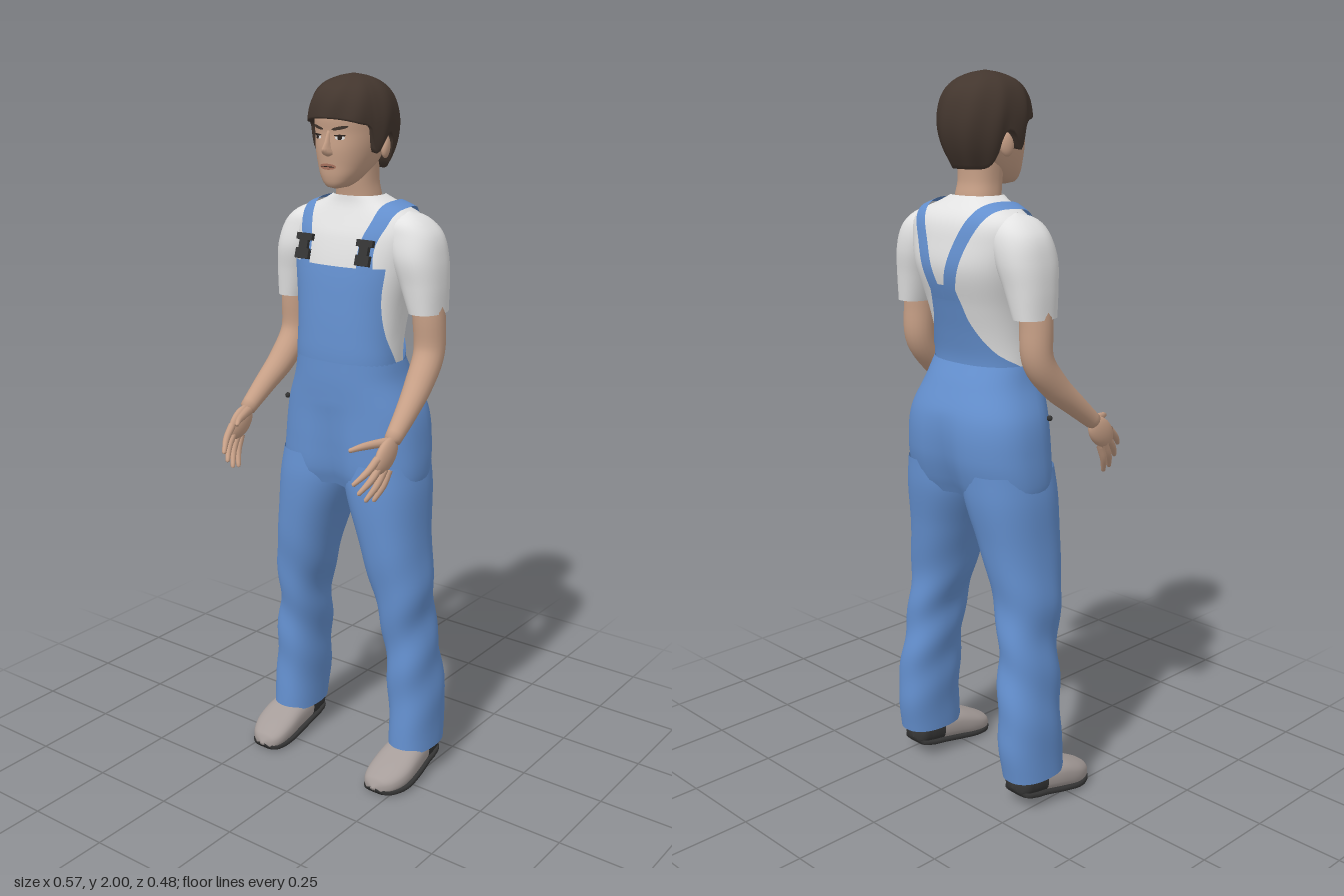
import * as THREE from 'three';

const { PI, cos, sin, abs, sign, sqrt, exp } = Math;
const material = (name, color) => Object.assign(new THREE.MeshStandardMaterial({ color, side: THREE.DoubleSide }), { name });

// Smooth interpolation of a table whose first column is the key
function at(rows, k) {
  const n = rows.length - 1;
  let i = 0;
  while (i < n - 1 && k > rows[i + 1][0]) i++;
  const a = rows[i], b = rows[i + 1], p = rows[Math.max(i - 1, 0)], q = rows[Math.min(i + 2, n)];
  const h = b[0] - a[0], t = Math.min(1, Math.max(0, (k - a[0]) / h)), t2 = t * t, t3 = t2 * t;
  return a.slice(1).map((v, j) => {
    const w = b[j + 1], m0 = (w - p[j + 1]) / (b[0] - p[0]) * h, m1 = (q[j + 1] - v) / (q[0] - a[0]) * h;
    return (2 * t3 - 3 * t2 + 1) * v + (t3 - 2 * t2 + t) * m0 + (3 * t2 - 2 * t3) * w + (t3 - t2) * m1;
  });
}

// Skin a grid of points; rows advance "up", columns run round
function grid(rows, closed = true) {
  const n = rows[0].length, pos = rows.flat().flatMap(p => p.toArray()), idx = [];
  for (let r = 0; r < rows.length - 1; r++) {
    for (let c = 0; c < (closed ? n : n - 1); c++) {
      const a = r * n + c, b = r * n + (c + 1) % n;
      idx.push(a, a + n, b, b, a + n, b + n);
    }
  }
  const g = new THREE.BufferGeometry();
  g.setAttribute('position', new THREE.Float32BufferAttribute(pos, 3));
  g.setIndex(idx);
  g.computeVertexNormals();
  return g;
}

const steps = (n, f) => Array.from({ length: n + 1 }, (_, i) => f(i / n));
const around = (n, f) => Array.from({ length: n }, (_, i) => f(i / n * 2 * PI));
const power = (v, n) => sign(v) * abs(v) ** (2 / n);

// Surface from rows of [y, x0, x1, z0, z1]
const surface = (rows, n = 2.3) => (y, a, off = 0) => {
  const [x0, x1, z0, z1] = at(rows, y);
  return new THREE.Vector3((x0 + x1) / 2 + (abs(x1 - x0) / 2 + off) * power(cos(a), n), y,
    (z0 + z1) / 2 + (abs(z1 - z0) / 2 + off) * power(sin(a), n));
};
const loft = (f, y0, y1, count = 30, ease = t => t) =>
  grid(steps(count, t => around(48, a => f(y0 + (y1 - y0) * ease(t), a))));
const patch = (f, y0, y1, mid, half, off, count = 20) =>
  grid(steps(count, t => {
    const y = y0 + (y1 - y0) * t, h = half(y, t);
    return steps(24, u => f(y, mid + (2 * u - 1) * h, off));
  }), false);

// Tapered round limb through [x, y, z, radius]
function limb(pts, count = 20, seg = 16) {
  const curve = new THREE.CatmullRomCurve3(pts.map(p => new THREE.Vector3(...p)));
  const fr = curve.computeFrenetFrames(count), table = pts.map((p, i) => [i / (pts.length - 1), p[3]]);
  const rings = steps(count, t => {
    const i = Math.round(t * count), c = curve.getPoint(curve.getUtoTmapping(t)), r = at(table, t)[0];
    return around(seg, a => c.clone().addScaledVector(fr.normals[i], r * cos(a)).addScaledVector(fr.binormals[i], -r * sin(a)));
  });
  const end = new THREE.Vector3(...pts.at(-1)).addScaledVector(fr.tangents[count], pts.at(-1)[3] * 0.7);
  return grid([...rings, around(seg, () => end.clone())]);
}

function mirrored(geo) {
  const g = geo.clone().scale(-1, 1, 1), ix = g.index.array;
  for (let i = 0; i < ix.length; i += 3) [ix[i], ix[i + 1]] = [ix[i + 1], ix[i]];
  return g;
}

const sym = rows => rows.map(([y, w, z0, z1]) => [y, -w, w, z0, z1]);

export function createModel() {
  const model = new THREE.Group();
  model.name = 'worker';
  const denim = material('denim', 0x6490cf), cloth = material('white cloth', 0xe2e2e2), skin = material('skin', 0xc69f86),
    hairMat = material('dark hair', 0x43362e), shoeMat = material('shoe grey', 0xa69d9a), rubber = material('black rubber', 0x343434),
    lipMat = material('lip', 0xa9735f), eyeMat = material('eye', 0x2a211d);
  const add = (name, geo, mat) => {
    const m = new THREE.Mesh(geo, mat);
    m.name = name;
    model.add(m);
  };
  const pair = (name, geo, mat) => {
    add('left ' + name, geo, mat);
    add('right ' + name, mirrored(geo), mat);
  };

  // Shirt body and sleeves
  const torsoRows = sym([[1.15, .15, -.17, .04], [1.25, .15, -.165, .048], [1.32, .15, -.178, .046], [1.4, .158, -.2, .04],
    [1.5, .18, -.228, .028], [1.58, .195, -.22, .008], [1.62, .19, -.21, -.01], [1.645, .16, -.195, -.022],
    [1.665, .11, -.175, -.03], [1.685, .07, -.155, -.033]]);
  const sleeveRows = [[1.385, .178, .268, -.17, -.04], [1.46, .15, .268, -.18, -.03], [1.53, .12, .262, -.19, -.02],
    [1.59, .1, .245, -.185, -.03], [1.625, .11, .213, -.165, -.045], [1.645, .14, .175, -.13, -.08], [1.648, .157, .158, -.11, -.1]];
  const torso = surface(torsoRows, 2.4);
  add('shirt body', loft(torso, 1.15, 1.685, 50), cloth);
  pair('sleeve', loft(surface(sleeveRows), 1.385, 1.648, 30), cloth);

  // Overalls: hips, legs, bib and back panel
  const hips = surface(sym([[.87, .215, -.2, .035], [.92, .225, -.222, .05], [1, .222, -.24, .053], [1.1, .208, -.237, .052],
    [1.19, .171, -.203, .056], [1.245, .158, -.175, .056]]), 2.4);
  add('overall hips', loft((y, a) => {
    const p = hips(y, a), low = Math.min(1, Math.max(0, (1.12 - y) / .22));
    p.z -= sign(sin(a)) * .03 * low * exp(-((p.x / .045) ** 2)) * Math.min(1, abs(sin(a)) * 3);
    return p;
  }, .88, 1.245), denim);
  const leg = surface([[.09, .15, .283, -.19, .002], [.2, .145, .28, -.204, -.003], [.33, .136, .271, -.195, -.003],
    [.48, .122, .252, -.18, .006], [.6, .09, .252, -.174, .025], [.755, .045, .235, -.195, .044],
    [.88, .004, .228, -.216, .05], [.96, .004, .215, -.22, .044]]);
  pair('trouser leg', loft((y, a) => leg(y, a, .004 * sin(y * 34 + a * 2) * exp(-(((y - .42) / .22) ** 2))), .09, .96, 50), denim);
  const bibHalf = [[1.2, 1.6], [1.25, 1.5], [1.33, 1.15], [1.42, .93], [1.505, .86]];
  const backHalf = [[1.2, 1.6], [1.235, 1.5], [1.28, .85], [1.35, .42], [1.42, .26], [1.46, .2]];
  add('bib', patch(torso, 1.2, 1.505, PI / 2, y => at(bibHalf, y)[0], .008), denim);
  add('back panel', patch(torso, 1.2, 1.46, -PI / 2, y => at(backHalf, y)[0], .008), denim);

  // Straps wrapped over the shoulders
  const within = (rows, n, x, y, z) => {
    if (y > rows.at(-1)[0] || y < rows[0][0]) return false;
    const [x0, x1, z0, z1] = at(rows, y);
    return abs((2 * x - x0 - x1) / (x1 - x0)) ** n + abs((2 * z - z0 - z1) / (z1 - z0)) ** n < 1;
  };
  const strapX = [[-5, .1], [30, .1], [60, .122], [90, .133], [120, .112], [150, .072], [180, .045], [215, .02]];
  pair('strap', grid(steps(50, t => {
    const deg = -5 + 220 * t, f = deg * PI / 180, cx = at(strapX, deg)[0];
    return steps(6, u => {
      const x = cx + (1 - 2 * u) * -.021;
      let lo = 0, hi = .3;
      for (let i = 0; i < 24; i++) {
        const r = (lo + hi) / 2, y = 1.5 + r * sin(f), z = -.1 + r * cos(f);
        if (within(torsoRows, 2.4, x, y, z) || within(sleeveRows, 2.3, x, y, z)) lo = r; else hi = r;
      }
      return new THREE.Vector3(x, 1.5 + (lo + .009) * sin(f), -.1 + (lo + .009) * cos(f));
    }).reverse();
  }), false), denim);

  // Strap buckles and side buttons
  for (const [w, h, dy] of [[.052, .018, .028], [.028, .03, .008], [.044, .028, -.018]]) {
    pair('buckle', new THREE.BoxGeometry(w, h, .012).translate(0, dy, 0).rotateX(-.28).translate(.1, 1.545, .024), rubber);
  }
  pair('side button', new THREE.SphereGeometry(.008, 12, 8).translate(.198, 1.1, -.02), rubber);

  // Arms and hands
  pair('arm', limb([[.215, 1.47, -.1, .045], [.226, 1.37, -.103, .045], [.23, 1.275, -.1, .043], [.236, 1.2, -.045, .039],
    [.245, 1.135, .03, .031], [.25, 1.08, .098, .023]], 30, 20), skin);
  pair('palm', new THREE.SphereGeometry(1, 20, 14).scale(.018, .037, .056).rotateX(.72).translate(.251, 1.045, .128), skin);
  const fingers = [[[.25, 1.045, .165], [.222, .987, .234]], [[.252, 1.025, .155], [.226, .957, .216]],
    [[.254, 1.01, .14], [.23, .932, .19]], [[.256, 1.005, .122], [.235, .925, .16]]];
  for (const [a, b] of fingers) {
    const mid = a.map((v, i) => (v + b[i]) / 2 + (i === 0 ? .006 : 0));
    pair('finger', limb([[...a, .011], [...mid, .0095], [...b, .006]], 10, 10), skin);
  }
  pair('thumb', limb([[.245, 1.075, .1, .014], [.222, 1.075, .15, .012], [.207, 1.073, .185, .01], [.193, 1.068, .21, .006]], 12, 10), skin);

  // Neck and head
  add('neck', loft(surface(sym([[1.62, .066, -.15, -.04], [1.68, .062, -.148, -.036], [1.72, .058, -.14, -.03], [1.79, .06, -.14, -.02]])), 1.62, 1.79), skin);
  const head = surface(sym([[1.707, .002, -.005, .015], [1.712, .026, -.03, .032], [1.735, .05, -.075, .042], [1.77, .069, -.125, .045],
    [1.81, .081, -.16, .048], [1.85, .086, -.17, .046], [1.9, .086, -.17, .047], [1.95, .07, -.14, .02], [1.975, .02, -.08, -.04]]));
  add('head', loft(head, 1.707, 1.975, 50), skin);
  pair('ear', new THREE.SphereGeometry(1, 16, 12).scale(.012, .031, .02).rotateX(-.15).rotateY(.35).translate(.094, 1.815, -.08), skin);

  // Face
  add('nose', grid([[1.792, .004, .046], [1.798, .015, .06], [1.806, .016, .069], [1.814, .011, .071], [1.83, .008, .06], [1.85, .007, .052], [1.862, .006, .045]]
    .map(([y, w, z]) => around(16, a => new THREE.Vector3(w * cos(a), y, .04 + (z - .04) * sin(a))))), skin);
  const lens = w => (y, t) => w * sqrt(Math.max(0, 1 - (2 * t - 1) ** 2)) + .001;
  for (const s of [-1, 1]) {
    const side = s > 0 ? 'left ' : 'right ', mid = PI / 2 - s * .36;
    add(side + 'eye', patch(head, 1.836, 1.847, mid, lens(.15), .002, 10), cloth);
    add(side + 'iris', patch(head, 1.836, 1.848, mid, lens(.07), .004, 10), eyeMat);
    add(side + 'eyelid', patch(head, 1.845, 1.85, mid, lens(.18), .004, 8), eyeMat);
    add(side + 'brow', patch((y, a, off) => head(y + .006 * sin(3 * s * (mid - a)), a, off), 1.862, 1.871, mid, lens(.25), .003, 8), hairMat);
  }
  add('lips', patch(head, 1.759, 1.775, PI / 2, lens(.3), .005, 12), lipMat);
  add('mouth line', patch(head, 1.766, 1.7685, PI / 2, lens(.26), .007, 4), eyeMat);

  // Hair with a fringe, sideburns and a longer nape
  const hair = surface(sym([[1.74, .075, -.148, .03], [1.8, .101, -.18, .05], [1.85, .111, -.194, .057], [1.9, .111, -.193, .06],
    [1.945, .097, -.178, .049], [1.975, .072, -.148, .022], [1.993, .036, -.105, -.025], [2, .001, -.066, -.064]]), 2.15);
  const hemY = [[-1, 1.752], [-.6, 1.757], [-.38, 1.785], [-.2, 1.842], [.05, 1.842], [.14, 1.81], [.32, 1.805], [.42, 1.86], [.7, 1.878], [1, 1.89]];
  add('hair', grid(steps(36, t => around(72, a => {
    const low = at(hemY, sin(a))[0], lift = .003 * sin(a * 9 + t * 5) * (1 - t);
    return t === 0 ? hair(low + .004, a, -.028) : hair(low + (2 - low) * sin((t - 1 / 36) / (35 / 36) * PI / 2), a, lift);
  }))), hairMat);

  // Shoes: grey upper, dark heel and sole, lofted from heel to toe
  const shoeRows = [[-.172, .208, .212, .06, .065], [-.165, .178, .25, .045, .09], [-.13, .165, .265, .035, .118], [-.09, .16, .27, .03, .12],
    [-.02, .155, .28, .018, .108], [.04, .153, .28, .008, .083], [.085, .16, .262, .005, .06], [.108, .178, .236, .009, .045], [.115, .205, .21, .022, .026]];
  const shoe = (z0, z1, sole) => grid(steps(30, t => {
    const z = z0 + (z1 - z0) * t, [x0, x1, y0, y1] = at(shoeRows, z);
    const top = sole ? y0 + Math.min(.02, y1 - y0) : y1, w = (x1 - x0) / 2 + (sole ? .002 : 0);
    return around(32, a => new THREE.Vector3((x0 + x1) / 2 + w * power(cos(a), 2.6),
      (y0 + top) / 2 - (sole ? .003 : 0) - (top - y0) / 2 * power(sin(a), sole ? 4 : 2.6), z));
  }));
  pair('shoe heel', shoe(-.172, -.085, false), rubber);
  pair('shoe upper', shoe(-.085, .115, false), shoeMat);
  pair('shoe sole', shoe(-.17, .114, true), rubber);

  // Centre the figure front to back and rest it on the floor
  const box = new THREE.Box3().setFromObject(model);
  model.position.set(0, -box.min.y, -(box.min.z + box.max.z) / 2);
  return model;
}
